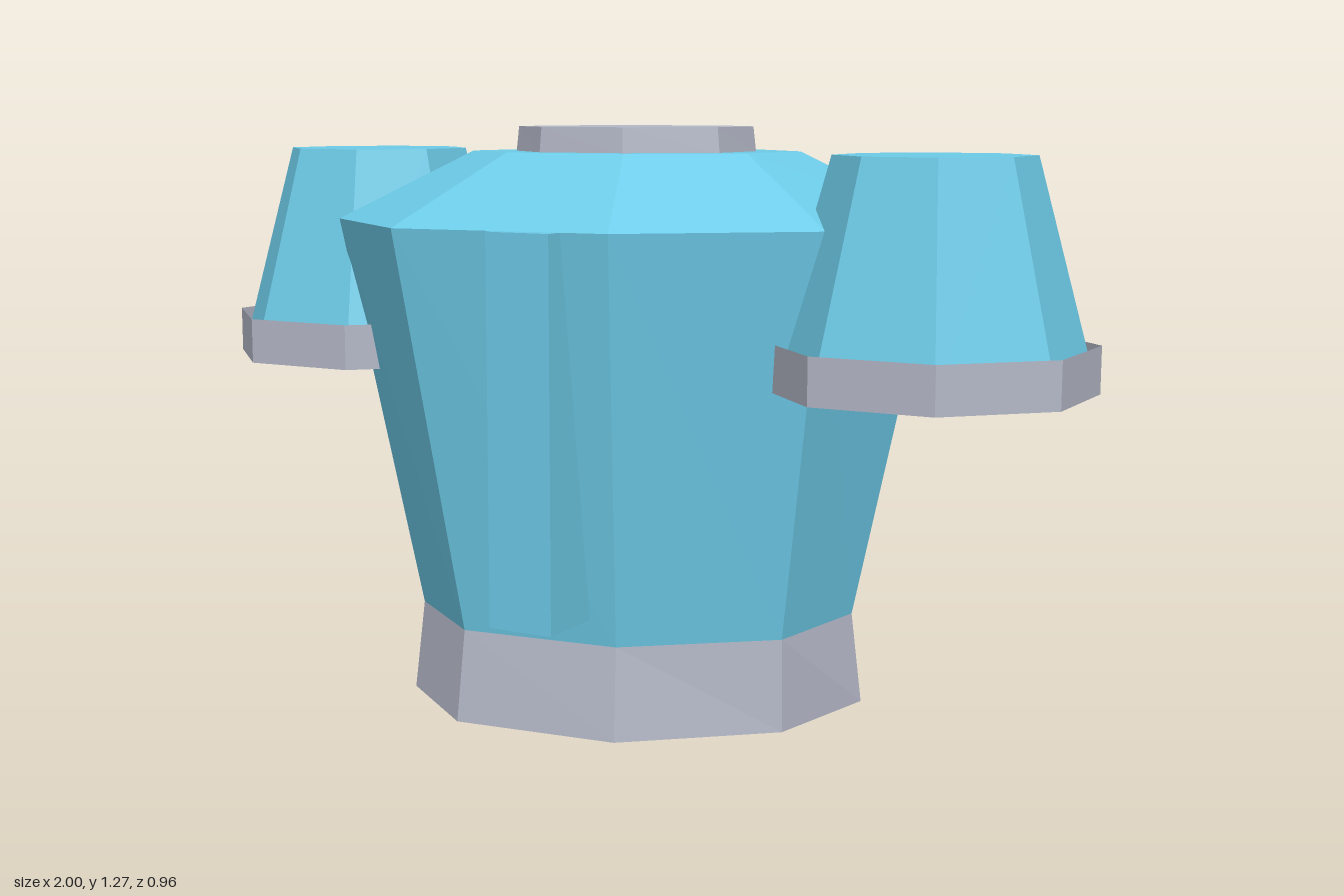
import * as THREE from 'three';

function paint(name, color, side = THREE.FrontSide) {
  const material = new THREE.MeshStandardMaterial({ color, flatShading: true, side });
  material.name = name;
  return material;
}
const teal = paint('teal armour', 0x6dcbe8);
const darkTeal = paint('dark teal underside', 0x529eb4);
const grey = paint('grey trim', 0xb4b8c7, THREE.DoubleSide);
const darkGrey = paint('dark grey underside', 0x6b6b74);

// Solid through skewed octagons; each ring is [y, four x,z pairs], the other half is the half-turn copy.
function loft(name, material, underside, rings) {
  const loops = rings.map(([y, ...h]) => {
    const half = [0, 2, 4, 6].map(i => [h[i], y, h[i + 1]]);
    return [...half, ...half.map(([x, , z]) => [-x, y, -z])];
  });
  const pos = [];
  const tri = (a, b, c) => pos.push(...a, ...b, ...c);
  for (let r = 0; r + 1 < loops.length; r++) {
    const lo = loops[r], up = loops[r + 1];
    for (let i = 0; i < 8; i++) {
      const j = (i + 1) % 8;
      tri(lo[i], up[i], up[j]);
      tri(lo[i], up[j], lo[j]);
    }
  }
  const bottom = loops[0], top = loops[loops.length - 1];
  for (let i = 1; i < 7; i++) tri(top[0], top[i + 1], top[i]);
  const split = pos.length / 3;
  for (let i = 1; i < 7; i++) tri(bottom[0], bottom[i], bottom[i + 1]);
  const geo = new THREE.BufferGeometry();
  geo.setAttribute('position', new THREE.Float32BufferAttribute(pos, 3));
  geo.computeVertexNormals();
  geo.addGroup(0, split, 0);
  geo.addGroup(split, pos.length / 3 - split, 1);
  const mesh = new THREE.Mesh(geo, [material, underside]);
  mesh.name = name;
  return mesh;
}

// Octagonal frustum sized across its flats, flats facing the axes.
function octagon(name, material, topFlat, bottomFlat, y0, y1, open) {
  const k = 1 / Math.cos(Math.PI / 8);
  const geo = new THREE.CylinderGeometry(topFlat * k, bottomFlat * k, y1 - y0, 8, 1, open);
  geo.rotateY(Math.PI / 8);
  geo.translate(0, (y0 + y1) / 2, 0);
  const mesh = new THREE.Mesh(geo, material);
  mesh.name = name;
  return mesh;
}

export function createModel() {
  const model = new THREE.Group();
  model.name = 'armourTorso';

  const waist = [0.2, 0.225, -0.35, 0.445, -0.185, 0.403, 0.09, 0.127, 0.312];

  // Waist band, chest with sloping shoulders, and neck plate
  model.add(
    loft('waistBand', grey, darkGrey, [
      [0, 0.235, -0.368, 0.467, -0.193, 0.408, 0.095, 0.132, 0.33],
      waist,
    ]),
    loft('chest', teal, teal, [
      waist,
      [1.065, 0.305, -0.48, 0.61, -0.252, 0.516, 0.15, 0.175, 0.425],
      [1.215, 0.165, -0.26, 0.33, -0.135, 0.3, 0.065, 0.1, 0.23],
    ]),
    loft('neckPlate', grey, grey, [
      [1.212, 0.116, -0.207, 0.24, -0.102, 0.237, 0.066, 0.077, 0.193],
      [1.268, 0.113, -0.203, 0.234, -0.1, 0.231, 0.064, 0.075, 0.189],
    ]),
  );

  // Upright ridge on the chest front
  const ridge = new THREE.Mesh(new THREE.BoxGeometry(0.147, 0.81, 0.24), teal);
  ridge.name = 'chestRidge';
  ridge.position.set(-0.001, 0.66, 0.36);
  model.add(ridge);

  // Shoulder guards with open rims
  for (const side of [1, -1]) {
    const guard = new THREE.Group();
    guard.name = side > 0 ? 'leftShoulderGuard' : 'rightShoulderGuard';
    guard.add(
      octagon('shoulderShell', [teal, teal, darkTeal], 0.19, 0.304, 0.765, 1.215, false),
      octagon('shoulderRim', grey, 0.315, 0.315, 0.737, 0.836, true),
    );
    guard.position.x = side * 0.685;
    model.add(guard);
  }
  return model;
}
